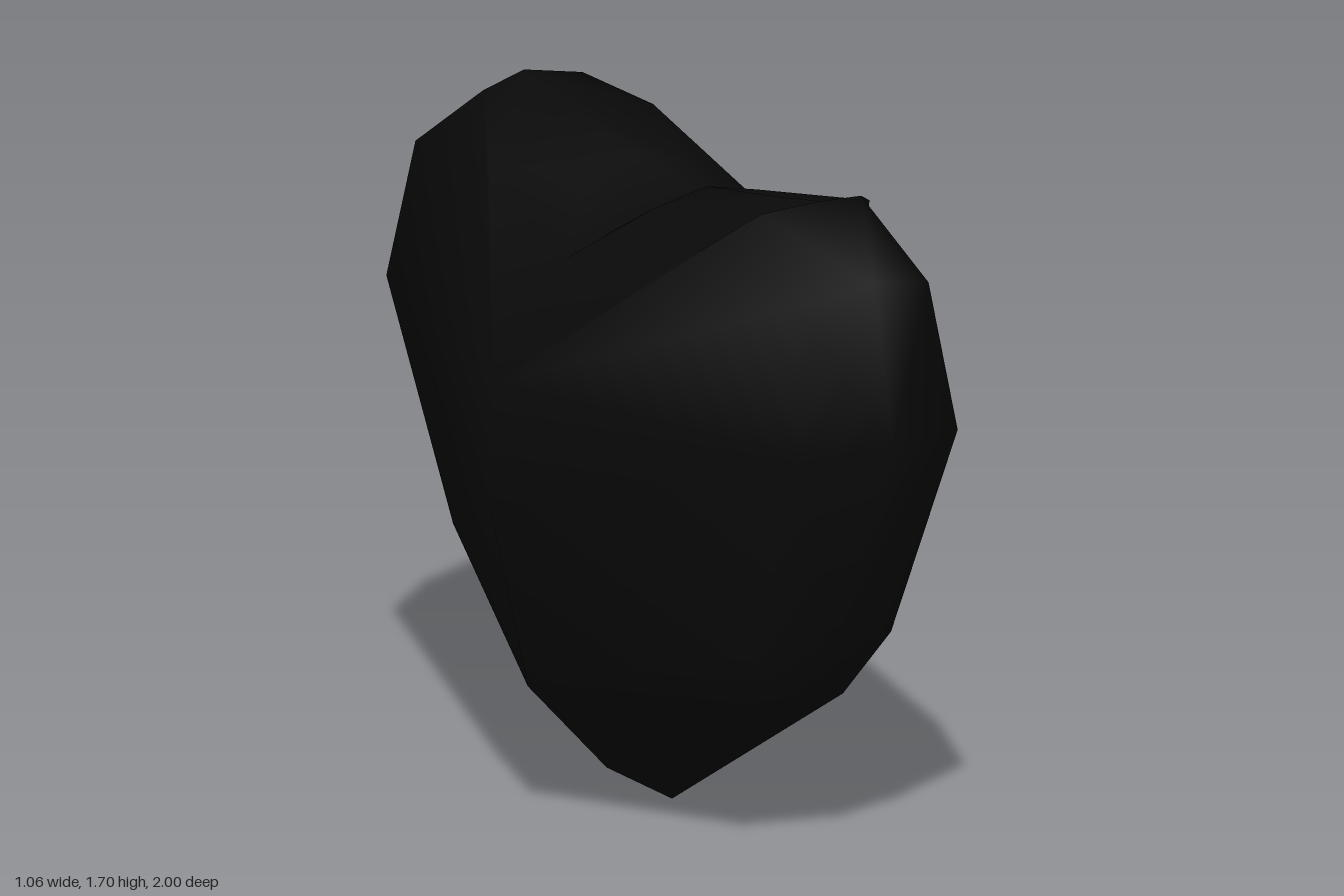
import * as THREE from 'three';
import { mergeVertices } from 'three/addons/utils/BufferGeometryUtils.js';

// Rows run from the bottom tip up over one lobe and down into the top notch.
// rim: [y, z] at x = 0, shoulder: [x, y, z], ridge: [x, y] at z = 0
const ROWS = [
  { rim: [0, 0], shoulder: [0, 0, 0], ridge: [0, 0] },
  { rim: [0.37, 0.55], shoulder: [0.15, 0.38, 0.54], ridge: [0.19, 0.11] },
  { rim: [0.575, 0.74], shoulder: [0.2, 0.565, 0.68], ridge: [0.42, 0.355] },
  { rim: [1.15, 1], shoulder: [0.23, 1.14, 0.935], ridge: [0.53, 0.83] },
  { rim: [1.545, 0.915], shoulder: [0.2, 1.5, 0.85], ridge: [0.52, 1.145] },
  { rim: [1.695, 0.67], shoulder: [0.145, 1.675, 0.63], ridge: [0.52, 1.145] },
  { rim: [1.655, 0.46], shoulder: [0.26, 1.61, 0.49], ridge: [0.52, 1.145] },
  { rim: [1.605, 0.16], shoulder: [0.15, 1.57, 0.15], ridge: [0.31, 1.43] },
  { rim: [1.48, 0], shoulder: [0.2, 1.47, 0], ridge: [0.31, 1.43] },
];
const LOBE_TOP = 6;

// One quarter of the heart, mirrored by the signs sx and sz
function addQuarter(positions, sx, sz) {
  const grid = ROWS.map(({ rim, shoulder, ridge }, i) => {
    // The lobe top is a little flatter on the right side
    const mid = i === LOBE_TOP && sx < 0 ? [0.23, 1.55, 0.47] : shoulder;
    return [[0, rim[0], rim[1]], mid, [ridge[0], ridge[1], 0]]
      .map(([x, y, z]) => [x * sx, y, z * sz]);
  });
  const triangle = (a, b, c) => {
    const corners = sx * sz > 0 ? [a, b, c] : [a, c, b];
    corners.forEach((p) => positions.push(p[0] + 0, p[1], p[2] + 0));
  };
  for (let i = 0; i < grid.length - 1; i++) {
    for (let j = 0; j < 2; j++) {
      const a = grid[i][j], b = grid[i + 1][j];
      const c = grid[i + 1][j + 1], d = grid[i][j + 1];
      triangle(a, d, c);
      triangle(a, c, b);
    }
  }
}

export function createModel() {
  const black = new THREE.MeshStandardMaterial({ color: 0x0a0a0a });
  black.name = 'black';

  const positions = [];
  for (const sx of [1, -1]) for (const sz of [1, -1]) addQuarter(positions, sx, sz);

  // Shared vertices give smooth shading over the low-poly form
  let geometry = new THREE.BufferGeometry();
  geometry.setAttribute('position', new THREE.Float32BufferAttribute(positions, 3));
  geometry = mergeVertices(geometry, 1e-4);
  geometry.computeVertexNormals();

  const heart = new THREE.Mesh(geometry, black);
  heart.name = 'heart';
  const group = new THREE.Group();
  group.name = 'heartModel';
  group.add(heart);
  return group;
}
